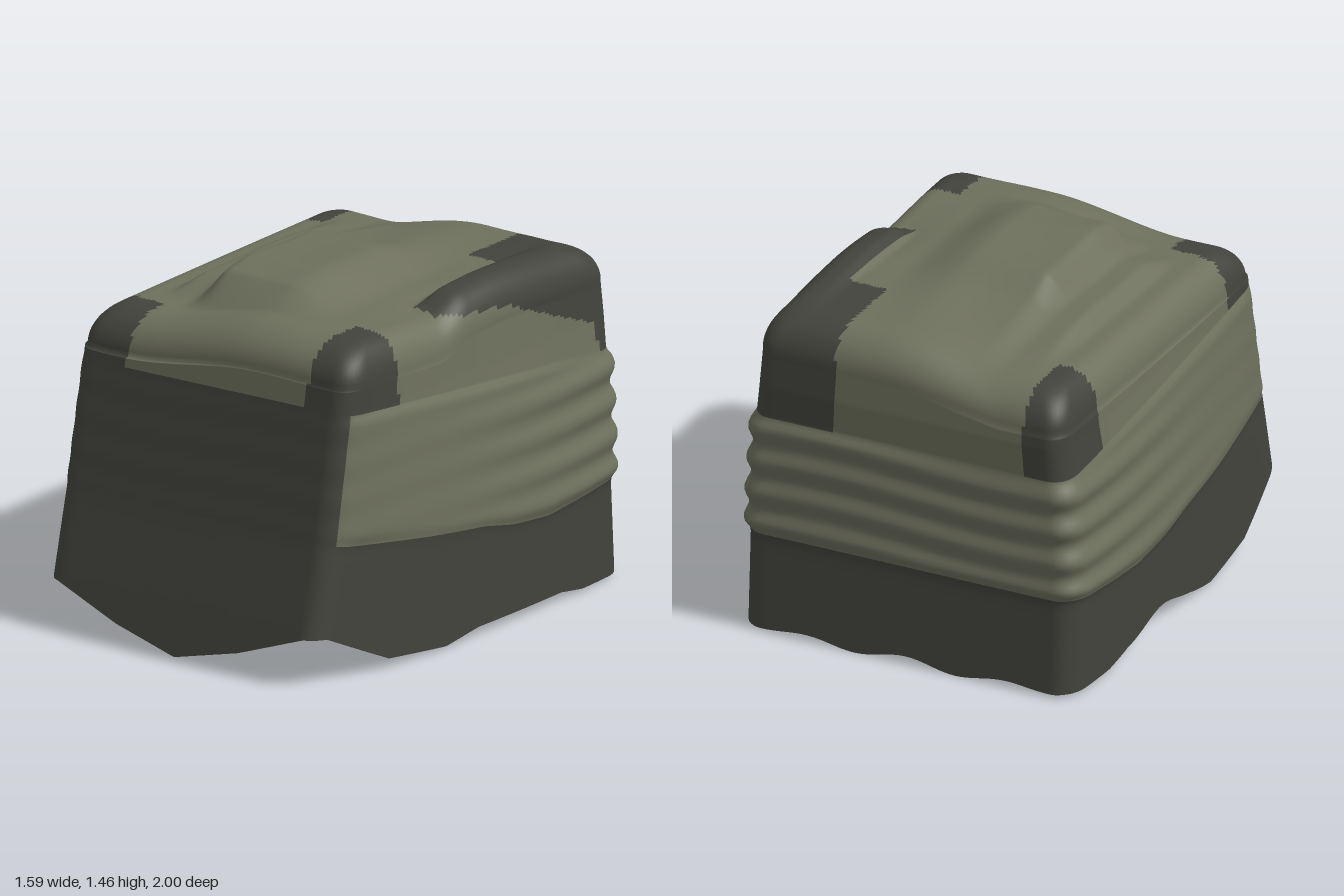
import * as THREE from 'three';

const { smoothstep: S, lerp } = THREE.MathUtils;

// piecewise-linear curve through [input, output] pairs (inputs rising)
function curve(t, pts) {
  if (t <= pts[0][0]) return pts[0][1];
  for (let i = 1; i < pts.length; i++) {
    const [a, u] = pts[i - 1], [b, v] = pts[i];
    if (t <= b) return lerp(u, v, (t - a) / (b - a));
  }
  return pts[pts.length - 1][1];
}

// rounded unit square, running from +x towards +z
function perimeter(r = 0.12, long = 64, corner = 8) {
  const pts = [];
  for (let s = 0; s < 4; s++) {
    const c = [1, 0, -1, 0][s], d = [0, 1, 0, -1][s];
    const add = (a, b) => pts.push([a * c - b * d, a * d + b * c]);
    for (let i = 0; i < long; i++) add(1, lerp(-(1 - r), 1 - r, i / long));
    for (let i = 0; i < corner; i++) {
      const t = (i / corner) * Math.PI / 2;
      add(1 - r + r * Math.cos(t), 1 - r + r * Math.sin(t));
    }
  }
  return pts;
}

const isFront = (a, b) => b > Math.abs(a);
const isSide = (a, b) => Math.abs(a) >= Math.abs(b);

// height of the wavy bottom hem
function hemY(a, b) {
  if (isFront(a, b)) return curve(Math.abs(a), [[0, 0.025], [0.45, 0.1], [0.9, 0.21]]);
  if (!isSide(a, b)) return 0.022 + 0.018 * Math.cos(a * 10) * (1 - a * a);
  const notch = a < 0 ? 0.07 * Math.exp(-(((b + 0.25) / 0.2) ** 2)) : 0;
  return notch + curve(b, [[-1, 0.02], [-0.7, 0.02], [-0.55, 0.045], [0, 0.045], [0.2, 0.015],
    [0.55, 0.05], [0.93, 0.21]]);
}

// top edge of the dark skirt
function skirtY(a, b) {
  if (isFront(a, b)) return 0.58;
  if (!isSide(a, b)) return 0.43;
  return curve(b, [[-0.95, 0.43], [-0.7, 0.41], [-0.45, 0.395], [-0.2, 0.42], [0, 0.46],
    [0.35, 0.5], [0.95, 0.58]]);
}

// top edge of the gathered band
function bandY(a, b) {
  if (isFront(a, b)) return 1.105 + 0.012 * a;
  return isSide(a, b) ? curve(b, [[-0.95, 0.96], [0.95, 1.105]]) : 0.96;
}

// footprint of the wall at a given height
function wall(a, b, y) {
  const zf = curve(y, [[0, 1.01], [0.2, 0.965], [0.58, 0.87], [1.1, 0.765], [1.3, 0.73]]);
  const zb = curve(y, [[0, -0.99], [0.4, -0.965], [1.1, -0.975], [1.3, -0.96]]);
  const bulge = 1 - ((b + 0.25) / 1.25) ** 2;
  const fy = curve(y, [[0.5, 1], [0.9, 0.55], [1.1, 0.2], [1.3, 0]]);
  let x = a * (0.685 + 0.09 * bulge * fy);
  let z = (zf + zb) / 2 + b * (zf - zb) / 2;
  // gathered ripples, strongest at the back, and the small ledge above them
  const top = bandY(a, b), low = skirtY(a, b);
  const inBand = S(y, low - 0.02, low + 0.05) * (1 - S(y, top - 0.03, top));
  const fade = 1 - 0.9 * S(b, -0.9, 0.5);
  const ripple = 0.009 * fade * Math.sin(y * 44 + 0.7 * Math.sin(b * 3 + a * 3));
  const off = inBand * (ripple + 0.014 * (1 - S(b, 0.8, 1)));
  x += a * off;
  z += b * off;
  return [x, z];
}

// cloth height over the top: sloping base, raised plateau, edge roll, folds
function topY(x, z) {
  const v = (0.75 - z) / 1.7;
  const base = lerp(lerp(1.295, 1.32, v), lerp(1.365, 1.4, v), S(x, -0.35, 0.15));
  const dip = -0.03 * S(x, 0.35, 0.6) * Math.exp(-(((z - 0.05) / 0.3) ** 2));
  const step = 0.05 * S(x, -0.52, -0.44) * (1 - S(x, -0.3, 0)) * (1 - S(z, 0.2, 0.45)) * S(z, -0.8, -0.3);
  const ground = base + dip + step;
  const ridge = S(x, -0.36, -0.22) * (1 - S(x, 0.08, 0.38));
  const span = curve(z, [[-0.85, 0], [-0.35, 0.45], [-0.2, 0.95], [0.2, 1], [0.35, 0.8], [0.5, 0]]);
  const roll = 0.055 * S(x, 0.47, 0.54) * (1 - S(z, -0.07, 0.1)) * S(z, -0.95, -0.1);
  const folds = 0.005 * Math.sin(x * 9 + z * 5) * Math.cos(z * 8 - x * 3) * (1 - S(Math.abs(x), 0.3, 0.6));
  return lerp(ground, 1.467, ridge * span) + roll + folds;
}

// dark reinforced corners of the crown
function isCorner(x, y, z) {
  if (x < -0.43 && z > 0.5) return true;
  if (x > 0.48 && z > 0.43) return true;
  if (x < -0.52 && z < -0.65) return true;
  const edge = curve(z, [[-0.88, 0.9], [-0.84, 1.09], [-0.28, 1.31], [0.1, 1.345]]);
  return y > edge && ((x > 0.33 && z < -0.5) || (x > 0.5 && z < 0.08));
}

// indexed triangles for cells of a closed tube of rows
function cell(p, q, s, t) {
  return [p, s, q, q, s, t];
}

export function createModel() {
  const olive = new THREE.MeshStandardMaterial({ color: 0x6e705d });
  olive.name = 'olive cloth';
  const dark = new THREE.MeshStandardMaterial({ color: 0x43433d });
  dark.name = 'dark cloth';

  const loop = perimeter(), n = loop.length;
  const SKIRT = 16, BAND = 32, RISE = 24, ARC = 12, CAP = 48;
  const R = 0.16, INSET_X = 0.12 / 0.69, INSET_Z = 0.18 / 0.86, ZC = -0.115;
  const rows = SKIRT + BAND + RISE + ARC + CAP;
  const pos = [];

  for (let j = 0; j <= rows; j++) {
    for (const [a, b] of loop) {
      const low = skirtY(a, b), top = bandY(a, b);
      const [wx, wz] = wall(a, b, 1.23);
      const rim = topY(wx * (1 - INSET_X), ZC + (wz - ZC) * (1 - INSET_Z));
      let x, y, z;
      const k = j - SKIRT - BAND - RISE;
      if (k < 0) {
        // walls, row by row between the seam lines
        if (j <= SKIRT) y = lerp(hemY(a, b), low, j / SKIRT);
        else if (j <= SKIRT + BAND) y = lerp(low, top, (j - SKIRT) / BAND);
        else y = lerp(top, rim - R, (j - SKIRT - BAND) / RISE);
        [x, z] = wall(a, b, y);
      } else {
        // rounded shoulder, then rings closing over the top
        const t = Math.min(k / ARC, 1) * Math.PI / 2;
        const inset = 1 - Math.cos(t);
        const close = k > ARC ? 1 - (k - ARC) / CAP : 1;
        x = wx * (1 - inset * INSET_X) * close;
        z = ZC + (wz - ZC) * (1 - inset * INSET_Z) * close;
        y = lerp(rim, topY(x, z), S(k, 0, ARC)) - R * (1 - Math.sin(t));
      }
      pos.push(x, y, z);
    }
  }

  // sort the cells into cloth panels
  const panels = { skirt: [], frontPanel: [], gatheredBand: [], crown: [], cornerPatches: [] };
  for (let j = 0; j < rows; j++) {
    for (let i = 0; i < n; i++) {
      const i2 = (i + 1) % n;
      const p = j * n + i, q = j * n + i2, s = p + n, t = q + n;
      const mid = [0, 1, 2].map((c) => (pos[p * 3 + c] + pos[q * 3 + c] + pos[s * 3 + c] + pos[t * 3 + c]) / 4);
      const b = (loop[i][1] + loop[i2][1]) / 2;
      let name;
      if (j < SKIRT) name = 'skirt';
      else if (j < SKIRT + BAND) name = b > 0.94 ? 'frontPanel' : 'gatheredBand';
      else name = isCorner(...mid) ? 'cornerPatches' : 'crown';
      panels[name].push(...cell(p, q, s, t));
    }
  }

  // one set of smooth normals shared by every panel
  const whole = new THREE.BufferGeometry();
  whole.setAttribute('position', new THREE.Float32BufferAttribute(pos, 3));
  whole.setIndex(Object.values(panels).flat());
  whole.computeVertexNormals();

  const group = new THREE.Group();
  group.name = 'cloth cover';
  const addMesh = (name, geo, material) => {
    const mesh = new THREE.Mesh(geo, material);
    mesh.name = name;
    group.add(mesh);
  };
  for (const [name, index] of Object.entries(panels)) {
    const geo = new THREE.BufferGeometry();
    geo.setAttribute('position', whole.attributes.position);
    geo.setAttribute('normal', whole.attributes.normal);
    geo.setIndex(index);
    addMesh(name, geo, name === 'crown' || name === 'gatheredBand' ? olive : dark);
  }

  // dark lining just inside the cloth, on every fourth row and column
  const STEP = 4, m = n / STEP, inner = [], liningIndex = [];
  for (let j = 0; j <= rows; j += STEP) {
    for (let i = 0; i < n; i += STEP) {
      const [x, y, z] = pos.slice((j * n + i) * 3, (j * n + i) * 3 + 3);
      inner.push(x * 0.965, y - 0.035 * S(y, 0.3, 1.2), ZC + (z - ZC) * 0.97);
    }
  }
  for (let j = 0; j < rows / STEP; j++) {
    for (let i = 0; i < m; i++) {
      const p = j * m + i, q = j * m + (i + 1) % m;
      liningIndex.push(...cell(q, p, q + m, p + m));
    }
  }
  const lining = new THREE.BufferGeometry();
  lining.setAttribute('position', new THREE.Float32BufferAttribute(inner, 3));
  lining.setIndex(liningIndex);
  lining.computeVertexNormals();
  addMesh('lining', lining, dark);

  // hem edge joining cloth and lining
  const edge = [], edgeIndex = [];
  for (let i = 0; i < m; i++) {
    edge.push(...inner.slice(i * 3, i * 3 + 3), ...pos.slice(i * STEP * 3, i * STEP * 3 + 3));
    const p = i * 2, q = ((i + 1) % m) * 2;
    edgeIndex.push(...cell(p, q, p + 1, q + 1));
  }
  const hem = new THREE.BufferGeometry();
  hem.setAttribute('position', new THREE.Float32BufferAttribute(edge, 3));
  hem.setIndex(edgeIndex);
  hem.computeVertexNormals();
  addMesh('hem', hem, dark);
  return group;
}
